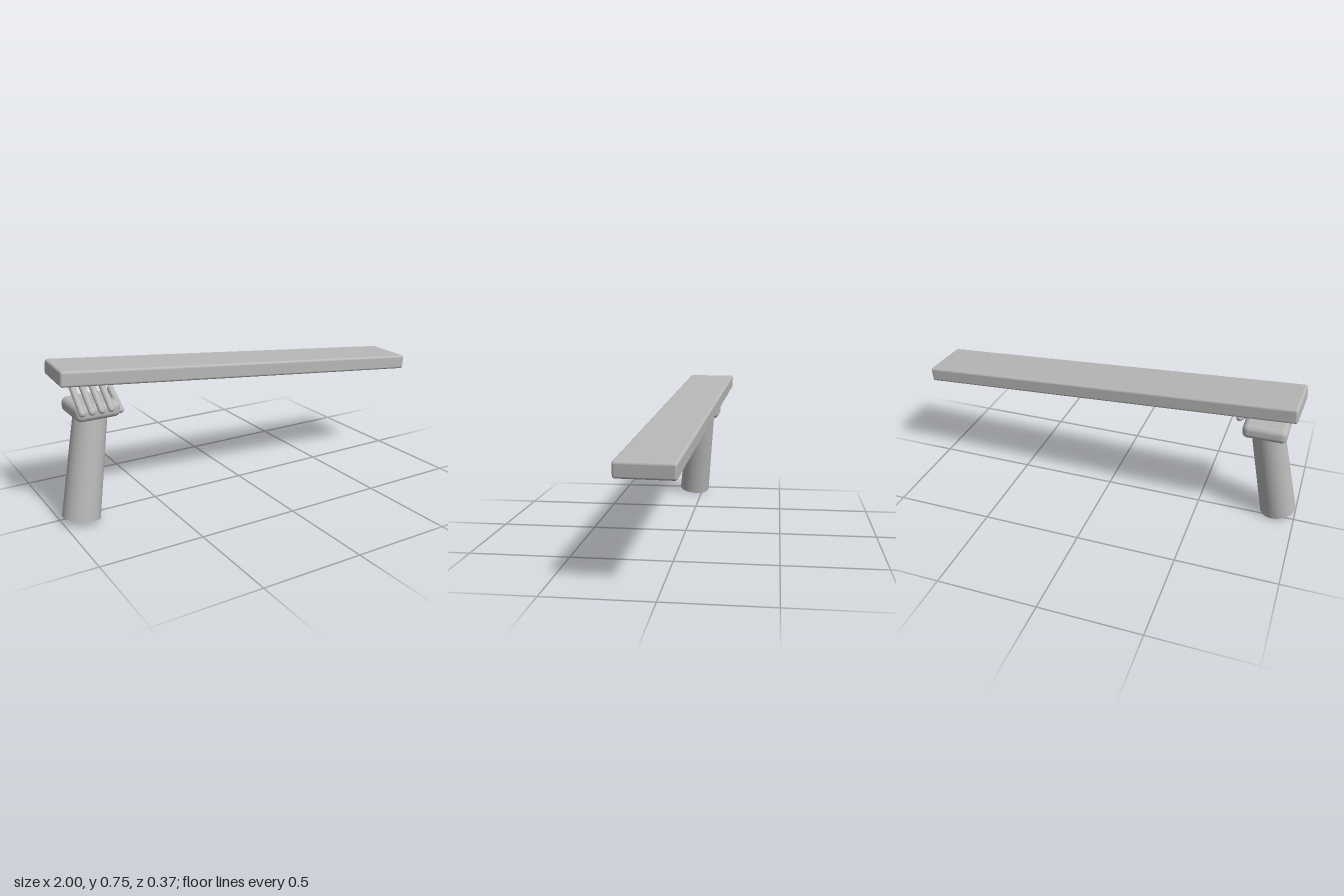
import * as THREE from 'three';
import { RoundedBoxGeometry } from 'three/addons/geometries/RoundedBoxGeometry.js';

export function createModel() {
  const model = new THREE.Group();
  const grey = new THREE.MeshStandardMaterial({ color: 0xb8b8b8 });
  grey.name = 'plain grey';

  const add = (name, geometry) => {
    const mesh = new THREE.Mesh(geometry, grey);
    mesh.name = name;
    model.add(mesh);
    return mesh;
  };

  // Places a y-aligned mesh so that it runs from a to b
  const span = (mesh, a, b) => {
    mesh.position.copy(a).add(b).multiplyScalar(0.5);
    mesh.quaternion.setFromUnitVectors(new THREE.Vector3(0, 1, 0), b.clone().sub(a).normalize());
  };

  const digit = (name, a, b, radius) =>
    span(add(name, new THREE.CapsuleGeometry(radius, a.distanceTo(b), 6, 16)), a, b);

  // Long plank, sloping down and turned slightly forward towards +x
  const plank = add('plank', new RoundedBoxGeometry(1.96, 0.074, 0.268, 4, 0.012));
  plank.position.set(0.0125, 0.6225, -0.003);
  plank.rotation.set(0, -0.052, -0.087);

  // Tapered forearm
  const wrist = new THREE.Vector3(-0.815, 0.502, 0);
  const elbow = new THREE.Vector3(-0.91, 0.018, 0.051);
  const arm = add('forearm', new THREE.CylinderGeometry(0.08, 0.091, wrist.distanceTo(elbow), 40));
  span(arm, elbow, wrist);

  // Palm
  const palm = add('palm', new RoundedBoxGeometry(0.215, 0.073, 0.23, 5, 0.028));
  palm.position.set(-0.81, 0.538, 0);

  // Four fingers leaning back under the plank
  for (let i = 0; i < 4; i++) {
    const x = -0.901 + i * 0.046;
    digit('finger', new THREE.Vector3(x, 0.556, 0.138), new THREE.Vector3(x, 0.655, 0.02), 0.015);
  }

  // Thumb along the inner side of the palm
  digit('thumb', new THREE.Vector3(-0.7, 0.527, 0.09), new THREE.Vector3(-0.681, 0.587, -0.07), 0.016);

  return model;
}
